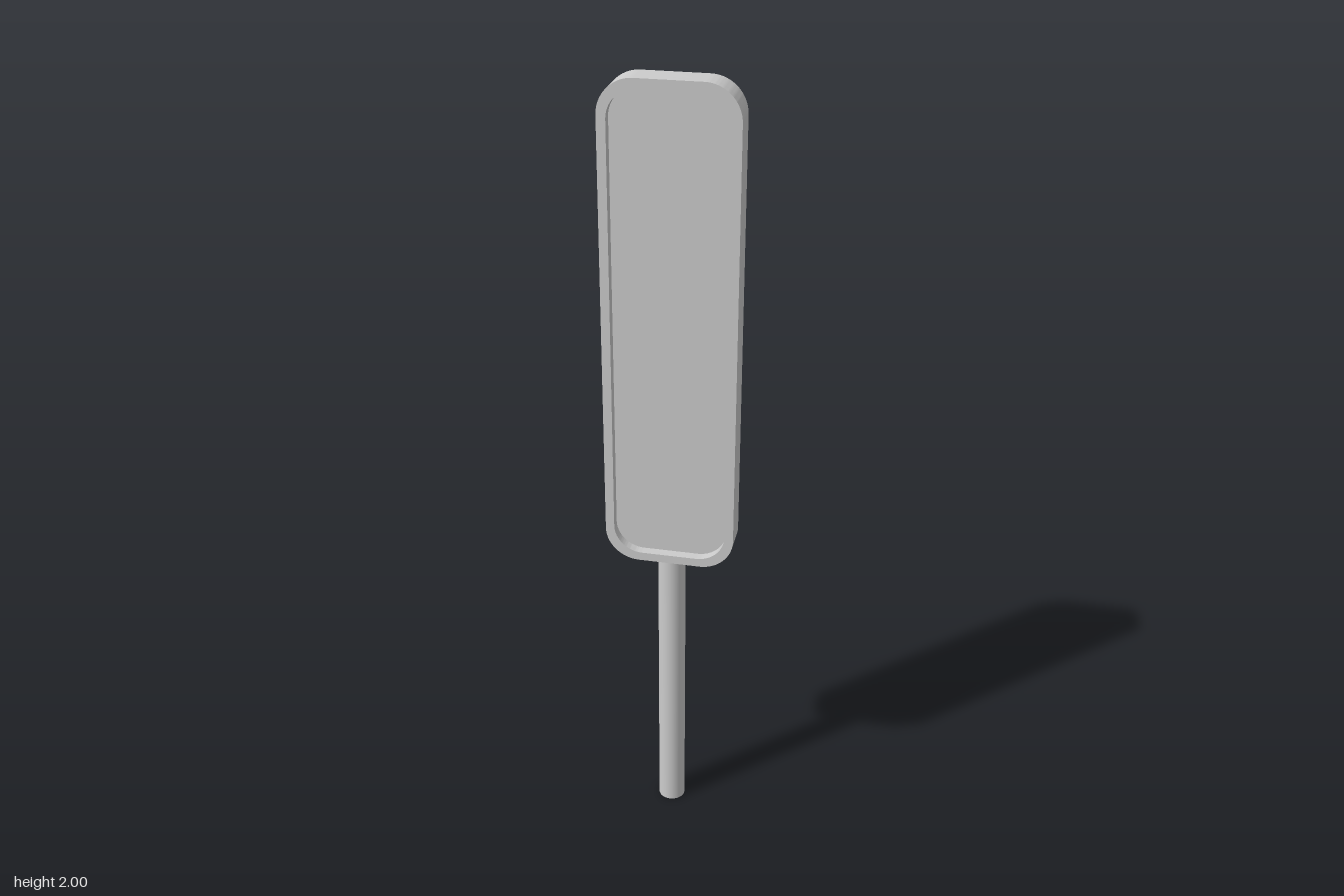
import * as THREE from 'three';
import { toCreasedNormals } from 'three/addons/utils/BufferGeometryUtils.js';

const HALF_DEPTH = 0.037, RECESS = 0.025;
const BOTTOM = 0.78, TOP = 2, HALF_WIDTH = 0.163, CORNER = 0.085, RIM = 0.022;

// Rounded rectangle of the panel, shrunk by an inset
function outline(Type, inset) {
  const x = HALF_WIDTH - inset, b = BOTTOM + inset, t = TOP - inset, r = CORNER - inset * 0.6;
  const p = new Type();
  p.moveTo(-x + r, b);
  p.lineTo(x - r, b);
  p.absarc(x - r, b + r, r, -Math.PI / 2, 0);
  p.lineTo(x, t - r);
  p.absarc(x - r, t - r, r, 0, Math.PI / 2);
  p.lineTo(-x + r, t);
  p.absarc(-x + r, t - r, r, Math.PI / 2, Math.PI);
  p.lineTo(-x, b + r);
  p.absarc(-x + r, b + r, r, Math.PI, Math.PI * 1.5);
  return p;
}

export function createModel() {
  const group = new THREE.Group();
  const material = new THREE.MeshStandardMaterial({ color: 0xcccccc });

  function add(name, geometry, y = 0, z = 0) {
    const mesh = new THREE.Mesh(geometry, material);
    mesh.name = name;
    mesh.position.set(0, y, z);
    group.add(mesh);
  }

  function slab(shape, depth) {
    const g = new THREE.ExtrudeGeometry(shape, { depth, bevelEnabled: false, curveSegments: 16 });
    return toCreasedNormals(g, Math.PI / 6);
  }

  // Panel: solid back plate with a raised rim on the front
  add('backPlate', slab(outline(THREE.Shape, 0), 2 * HALF_DEPTH - RECESS), 0, -HALF_DEPTH);
  const rim = outline(THREE.Shape, 0);
  rim.holes.push(outline(THREE.Path, RIM));
  add('frontRim', slab(rim, RECESS), 0, HALF_DEPTH - RECESS);

  // Round handle, from the ground to the panel's lower edge
  add('handle', new THREE.CylinderGeometry(0.035, 0.035, BOTTOM, 32), BOTTOM / 2);

  return group;
}
